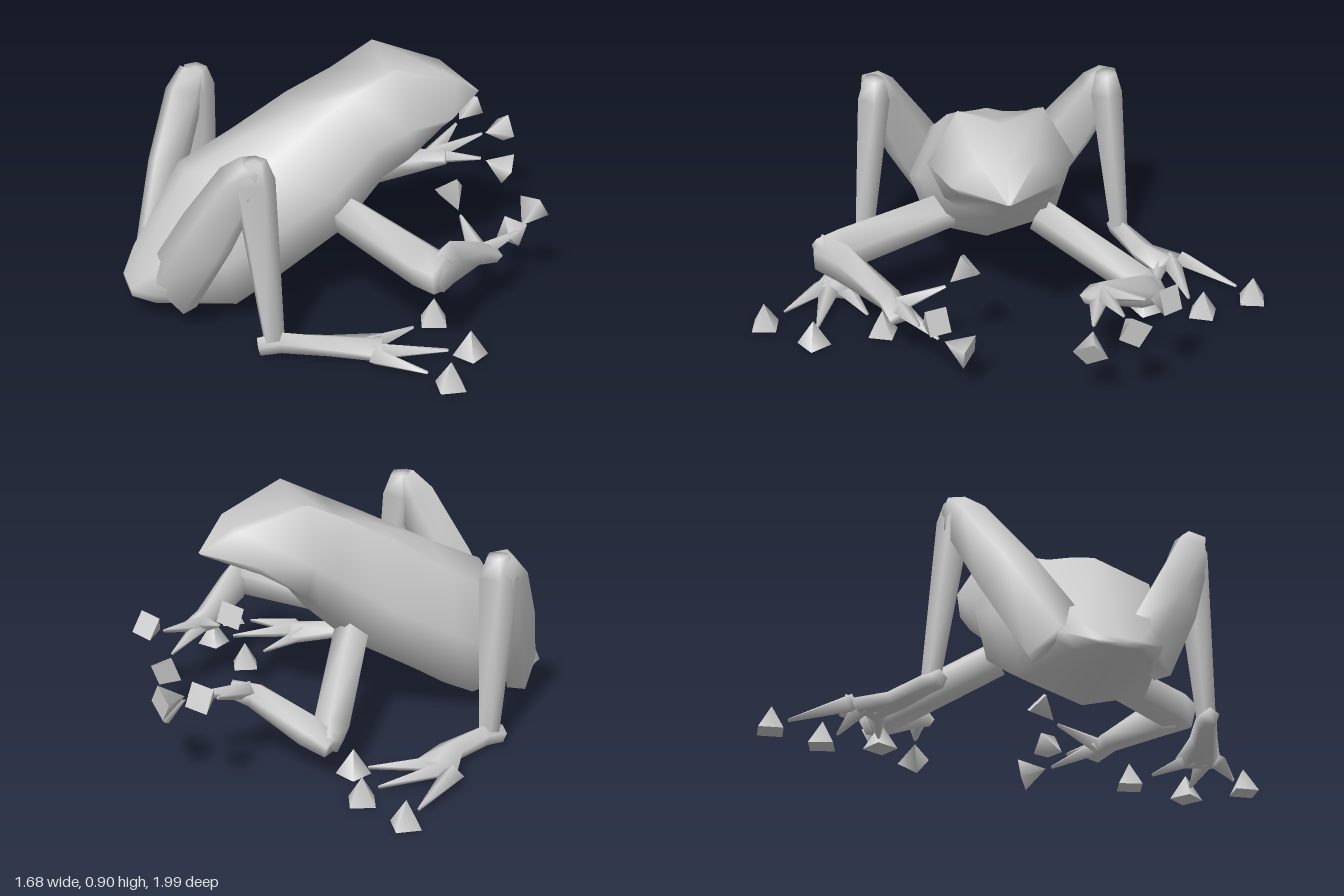
import * as THREE from 'three';

const material = new THREE.MeshStandardMaterial({ color: 0xcccccc, side: THREE.DoubleSide });
const V = (p) => new THREE.Vector3(...p);

// Skins a list of equal-length rings and closes both ends.
function loft(rings) {
  const n = rings[0].length, pos = [], idx = [];
  const centre = (r) => r.reduce((s, p) => s.add(p), new THREE.Vector3()).divideScalar(n);
  rings.forEach((r) => r.forEach((p) => pos.push(p.x, p.y, p.z)));
  for (let k = 0; k < rings.length - 1; k++) {
    for (let i = 0; i < n; i++) {
      const a = k * n + i, b = k * n + (i + 1) % n;
      idx.push(a, b, b + n, a, b + n, a + n);
    }
  }
  const last = (rings.length - 1) * n, c0 = rings.length * n;
  [rings[0], rings[rings.length - 1]].forEach((r) => pos.push(...centre(r).toArray()));
  for (let i = 0; i < n; i++) {
    const j = (i + 1) % n;
    idx.push(c0, j, i, c0 + 1, last + i, last + j);
  }
  const g = new THREE.BufferGeometry();
  g.setAttribute('position', new THREE.Float32BufferAttribute(pos, 3));
  g.setIndex(idx);
  g.computeVertexNormals();
  return g;
}

// Tapered limb along a path; each stop is [x, y, z, height radius, side radius].
function limb(stops, sides = 5) {
  const pts = stops.map((s) => V(s.slice(0, 3)));
  const whole = pts[pts.length - 1].clone().sub(pts[0]).normalize();
  const ref = Math.abs(whole.y) > 0.9 ? V([1, 0, 0]) : V([0, 1, 0]);
  return loft(pts.map((p, k) => {
    const t = pts[Math.min(k + 1, pts.length - 1)].clone().sub(pts[Math.max(k - 1, 0)]).normalize();
    const u = ref.clone().addScaledVector(t, -ref.dot(t)).normalize();
    const v = t.clone().cross(u);
    const [ru, rv = ru] = stops[k].slice(3);
    return Array.from({ length: sides }, (_, i) => {
      const a = (i / sides) * Math.PI * 2;
      return p.clone().addScaledVector(u, Math.cos(a) * ru).addScaledVector(v, Math.sin(a) * rv);
    });
  }));
}

// Eight-sided body ring: top and bottom [x, y], half width, height of the widest
// point, then the width and height fractions of the upper shoulder points.
function bodyRing([top, bottom, w, side = 0.5, dw = 0.72, dh = 0.88]) {
  const at = (f, z) => new THREE.Vector3(
    THREE.MathUtils.lerp(bottom[0], top[0], f), THREE.MathUtils.lerp(bottom[1], top[1], f), 0.037 + z * w);
  return [at(1, 0), at(dh, dw), at(side, 1), at(0.12, 0.78), at(0, 0), at(0.12, -0.78), at(side, -1), at(dh, -dw)];
}

function add(group, name, geometry) {
  const mesh = new THREE.Mesh(geometry, material);
  mesh.name = name;
  group.add(mesh);
  return mesh;
}

// Four-sided toe pad whose point faces the given direction.
function pad(group, name, centre, direction, turn = 0) {
  const g = new THREE.ConeGeometry(0.065, 0.1, 4);
  g.rotateY(turn);
  const mesh = add(group, name, g);
  mesh.position.copy(V(centre));
  mesh.quaternion.setFromUnitVectors(V([0, 1, 0]), direction.clone().normalize());
}

// Thin digit from root to tip.
function digit(group, name, root, tip, ru, rv) {
  add(group, name, limb([[...root, ru, rv], [...tip, 0.007]], 4));
}

function hindLeg(side, mirror, foot) {
  const g = new THREE.Group();
  g.name = side + 'HindLeg';
  const z = (d) => 0.02 + mirror * d;
  const lift = mirror > 0 ? 0 : -0.015;
  // Broad thigh blade fanning into the hip
  add(g, 'thigh', limb([
    [-0.7, 0.13, z(0.17), 0.13, 0.06], [-0.6, 0.41, z(0.32), 0.12, 0.07],
    [-0.5, 0.66 + lift, z(0.435), 0.09, 0.075], [-0.46, 0.74 + lift, z(0.46), 0.05, 0.06]]));
  add(g, 'shank', limb([
    [-0.45, 0.755 + lift, z(0.455), 0.045, 0.045], [-0.455, 0.67 + lift, z(0.46), 0.08, 0.065],
    [-0.405, 0.06, z(0.52), 0.04, 0.037]]));
  // Foot widens into a flat web where the toes split
  add(g, 'foot', limb([
    [-0.46, 0.04, z(0.51), 0.035, 0.035], [-0.38, 0.055, z(0.53), 0.04, 0.04],
    [-0.22, 0.05, z(0.59), 0.035, 0.055], [foot.x, 0.04, foot.z, 0.035, 0.09]]));
  foot.toes.forEach(([tx, tz, px, pz]) => {
    const rootZ = THREE.MathUtils.lerp(foot.z, tz, 0.25);
    digit(g, 'toe', [foot.x - 0.04, 0.04, rootZ], [tx, 0.03, tz], 0.035, 0.045);
    pad(g, 'toePad', [px, 0.057, pz], V([0, 1, 0]), Math.atan2(px - tx, pz - tz));
  });
  return g;
}

function foreLeg(side, { upper, lower, root, fingers }) {
  const g = new THREE.Group();
  g.name = side + 'ForeLeg';
  add(g, 'upperArm', limb(upper));
  add(g, 'forearm', limb(lower));
  fingers.forEach(([tip, end]) => {
    digit(g, 'finger', root, tip, 0.035, 0.045);
    pad(g, 'fingerPad', end, V(tip).sub(V(end)));
  });
  return g;
}

export function createModel() {
  const model = new THREE.Group();
  model.name = 'frog';

  // Body and head, from rump to snout; two ridges run along the back to the brows
  add(model, 'body', loft([
    [[-0.84, 0.11], [-0.835, 0.075], 0.09],
    [[-0.79, 0.2], [-0.76, 0.06], 0.18],
    [[-0.6, 0.53], [-0.46, 0.015], 0.3, 0.5],
    [[-0.38, 0.64], [-0.33, 0.1], 0.315, 0.5, 0.65, 0.9],
    [[-0.17, 0.73], [-0.05, 0.27], 0.29, 0.5, 0.6, 0.99],
    [[0.01, 0.785], [0.13, 0.44], 0.2, 0.5, 0.7, 1.1],
    [[0.17, 0.845], [0.2, 0.53], 0.27, 0.56, 0.58, 1.19],
    [[0.41, 0.8], [0.34, 0.64], 0.2, 0.4, 0.5, 1.1],
    [[0.54, 0.715], [0.53, 0.705], 0.008],
  ].map(bodyRing)));

  // Hind legs; toes are [tip x, tip z, pad x, pad z]
  model.add(hindLeg('left', 1, { x: -0.04, z: 0.665, toes: [
    [0.07, 0.86, 0.13, 0.935], [0.19, 0.735, 0.27, 0.75], [0.12, 0.545, 0.22, 0.49]] }));
  model.add(hindLeg('right', -1, { x: -0.12, z: -0.66, toes: [
    [0.05, -0.9, 0.12, -0.95], [0.12, -0.7, 0.2, -0.74], [0.1, -0.55, 0.15, -0.53]] }));

  // Forelegs; fingers are [tip, pad centre]
  model.add(foreLeg('left', {
    upper: [[-0.06, 0.38, 0.22, 0.075], [0.13, 0.335, 0.63, 0.085], [0.17, 0.325, 0.715, 0.08, 0.06]],
    lower: [[0.15, 0.335, 0.71, 0.08, 0.05], [0.22, 0.32, 0.62, 0.085, 0.055],
      [0.38, 0.26, 0.47, 0.045, 0.05], [0.47, 0.225, 0.43, 0.03, 0.05]],
    root: [0.41, 0.245, 0.44],
    fingers: [
      [[0.4, 0.31, 0.26], [0.39, 0.355, 0.205]],
      [[0.58, 0.2, 0.3], [0.615, 0.185, 0.235]],
      [[0.59, 0.27, 0.37], [0.645, 0.31, 0.33]]],
  }));
  model.add(foreLeg('right', {
    upper: [[0.0, 0.37, -0.13, 0.07], [0.22, 0.18, -0.49, 0.07], [0.25, 0.15, -0.55, 0.045]],
    lower: [[0.24, 0.145, -0.55, 0.05], [0.3, 0.185, -0.47, 0.065],
      [0.45, 0.28, -0.31, 0.045, 0.06], [0.53, 0.3, -0.27, 0.025, 0.06]],
    root: [0.47, 0.295, -0.3],
    fingers: [
      [[0.63, 0.355, -0.44], [0.685, 0.385, -0.485]],
      [[0.71, 0.34, -0.35], [0.775, 0.34, -0.365]],
      [[0.67, 0.28, -0.25], [0.735, 0.25, -0.235]]],
  }));

  return model;
}
